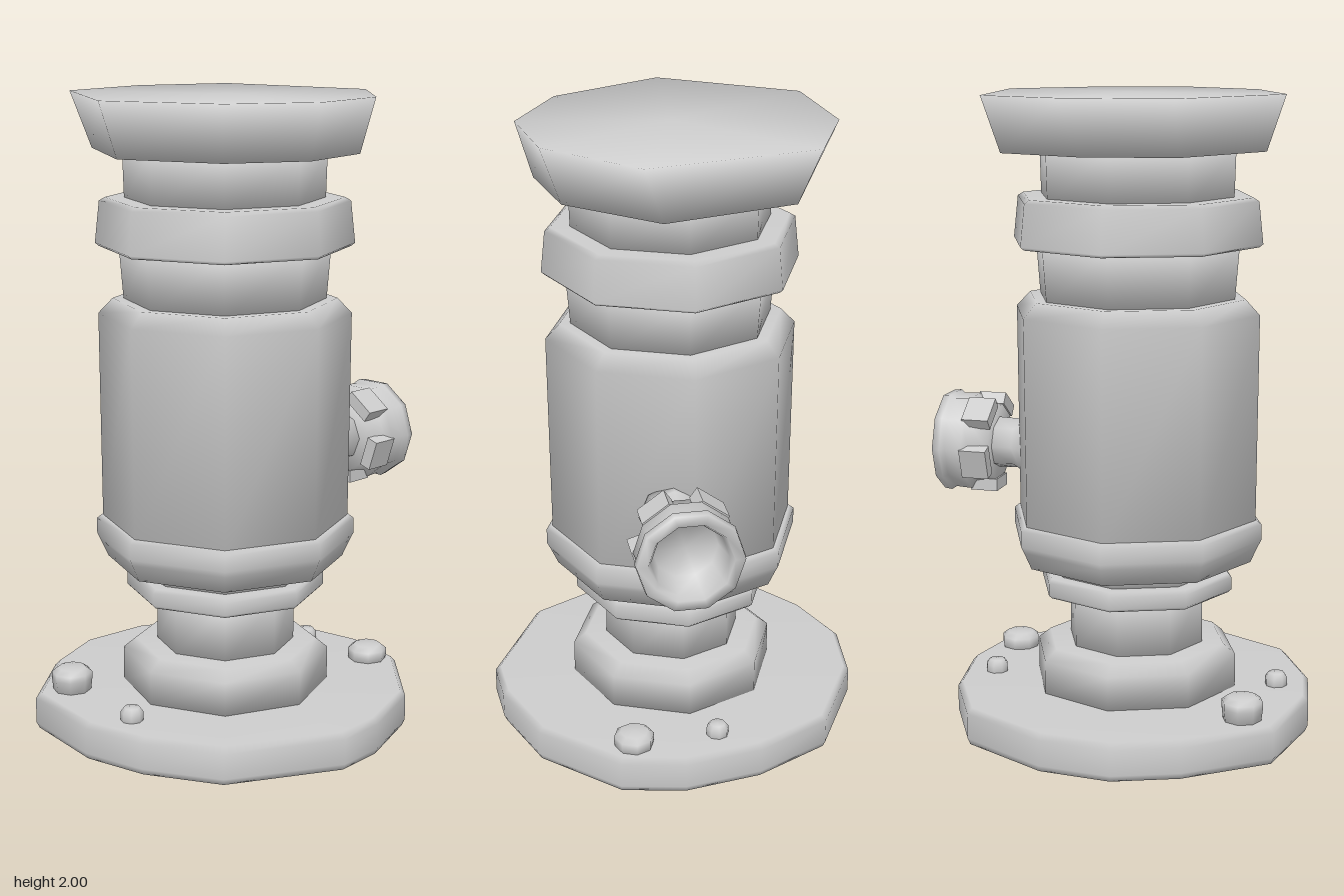
import * as THREE from 'three';

const steel = new THREE.MeshStandardMaterial({ color: 0xcccccc });
steel.name = 'plain grey';

// Regular polygon outline in the xz plane
function ring(r, sides, phase = 0) {
  return Array.from({ length: sides }, (_, i) => {
    const t = phase + (i / sides) * Math.PI * 2;
    return [r * Math.cos(t), r * Math.sin(t)];
  });
}

const scaled = (outline, s) => outline.map(([x, z]) => [x * s, z * s]);

// Closed smooth solid through stacked outlines: layers = [[outline, y], ...]
function loft(layers) {
  const n = layers[0][0].length;
  const pos = [], idx = [];
  for (const [outline, y] of layers) for (const [x, z] of outline) pos.push(x, y, z);
  for (let l = 0; l < layers.length - 1; l++) {
    for (let j = 0; j < n; j++) {
      const a = l * n + j, b = l * n + (j + 1) % n;
      idx.push(a, a + n, b, b, a + n, b + n);
    }
  }
  const cap = (l, up) => {
    const [outline, y] = layers[l];
    const c = pos.length / 3;
    const mean = k => outline.reduce((s, p) => s + p[k], 0) / n;
    pos.push(mean(0), y, mean(1));
    for (let j = 0; j < n; j++) {
      const a = l * n + j, b = l * n + (j + 1) % n;
      if (up) idx.push(c, b, a); else idx.push(c, a, b);
    }
  };
  cap(0, false);
  cap(layers.length - 1, true);
  const g = new THREE.BufferGeometry();
  g.setAttribute('position', new THREE.Float32BufferAttribute(pos, 3));
  g.setIndex(idx);
  g.computeVertexNormals();
  return g;
}

// Turned part from [radius, height] pairs
const turned = (profile, sides = 8, phase = 0) =>
  loft(profile.map(([r, y]) => [ring(r, sides, phase), y]));

function add(parent, name, geometry, x = 0, y = 0, z = 0) {
  const m = new THREE.Mesh(geometry, steel);
  m.name = name;
  m.position.set(x, y, z);
  parent.add(m);
  return m;
}

export function createModel() {
  const model = new THREE.Group();
  model.name = 'standpipe';
  const cx = -0.045;

  // Uneven base flange
  const base = [[-0.13, -0.6], [0.1, -0.58], [0.38, -0.43], [0.5, -0.19], [0.54, 0.06],
    [0.5, 0.26], [0.28, 0.49], [0.04, 0.58], [-0.12, 0.59], [-0.46, 0.41],
    [-0.58, 0.18], [-0.62, -0.03], [-0.57, -0.33], [-0.33, -0.52]];
  add(model, 'baseFlange', loft([[scaled(base, 0.985), 0], [base, 0.02], [base, 0.1], [scaled(base, 0.97), 0.118]]));

  // Turned column, bottom to top
  const column = {
    baseCollar: [[0.33, 0.11], [0.33, 0.225], [0.29, 0.258]],
    lowerNeck: [[0.22, 0.25], [0.22, 0.44]],
    smallRing: [[0.305, 0.43], [0.315, 0.44], [0.315, 0.48], [0.305, 0.492]],
    taperedSeat: [[0.26, 0.485], [0.3, 0.545]],
    lowerRing: [[0.375, 0.535], [0.4, 0.59], [0.41, 0.61], [0.41, 0.66], [0.395, 0.672]],
    body: [[0.39, 0.65], [0.395, 1.325], [0.35, 1.372]],
    upperNeck: [[0.315, 1.36], [0.33, 1.55]],
    upperRing: [[0.39, 1.535], [0.402, 1.545], [0.388, 1.675], [0.37, 1.686]],
    capNeck: [[0.31, 1.67], [0.315, 1.84]],
  };
  for (const [name, profile] of Object.entries(column)) add(model, name, turned(profile), cx);

  // Flared flat-topped cap
  const rim = [[-0.28, -0.45], [0.05, -0.49], [0.33, -0.37], [0.42, 0.16],
    [0.17, 0.42], [-0.11, 0.46], [-0.36, 0.31], [-0.52, -0.04]];
  const foot = [[-0.27, -0.36], [0.02, -0.41], [0.29, -0.31], [0.39, 0.1],
    [0.17, 0.36], [-0.1, 0.41], [-0.33, 0.28], [-0.46, -0.03]];
  add(model, 'cap', loft([[foot, 1.828], [rim, 2]]));

  // Bolts on the flange: x, z, radius, top height
  const bolts = [[-0.46, -0.28, 0.065, 0.192], [-0.5, 0.05, 0.036, 0.16],
    [0.42, 0.205, 0.064, 0.168], [0.41, -0.065, 0.036, 0.158]];
  for (const [x, z, r, top] of bolts) {
    add(model, 'bolt', turned([[r * 0.9, 0.1], [r, top - 0.035], [r, top - 0.015], [r * 0.7, top]]), x, 0, z);
  }

  // Side valve, built upright and laid along +x
  const valve = new THREE.Group();
  valve.name = 'sideValve';
  valve.position.set(0.3, 0.86, 0.06);
  valve.rotation.z = -Math.PI / 2;
  add(valve, 'valveStem', turned([[0.105, 0], [0.1, 0.04], [0.082, 0.07], [0.085, 0.16]]));
  add(valve, 'valveKnob', turned([[0.125, 0.135], [0.135, 0.2], [0.158, 0.215], [0.155, 0.27],
    [0.166, 0.285], [0.163, 0.31], [0.13, 0.313], [0.118, 0.29], [0.1, 0.21]], 10, Math.PI / 10));
  for (let i = 0; i < 5; i++) {
    const t = (i / 5) * Math.PI * 2;
    const tooth = add(valve, 'knobTooth', new THREE.BoxGeometry(0.04, 0.09, 0.1),
      Math.cos(t) * 0.135, 0.175, Math.sin(t) * 0.135);
    tooth.rotation.y = -t;
  }
  model.add(valve);

  return model;
}
